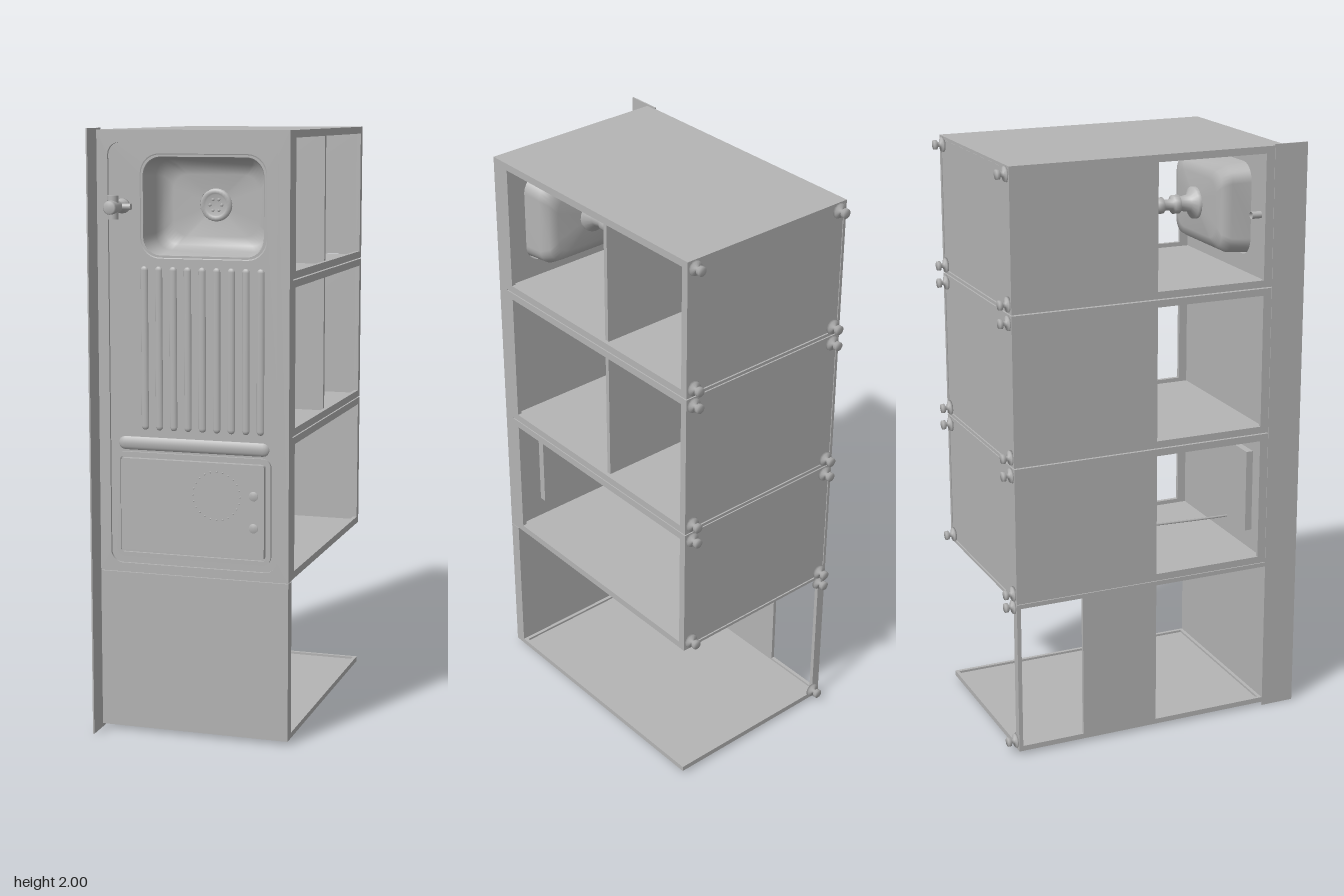
import * as THREE from 'three';

const grey = new THREE.MeshStandardMaterial({ color: 0xb4b4b4, side: THREE.DoubleSide });
grey.name = 'steel grey';

function add(parent, name, geometry, x = 0, y = 0, z = 0) {
  const m = new THREE.Mesh(geometry, grey);
  m.name = name;
  m.position.set(x, y, z);
  parent.add(m);
  return m;
}

// box given by its extents
function slab(parent, name, x0, x1, y0, y1, z0, z1) {
  return add(parent, name, new THREE.BoxGeometry(x1 - x0, y1 - y0, z1 - z0),
    (x0 + x1) / 2, (y0 + y1) / 2, (z0 + z1) / 2);
}

// round part turned about z, profile given as [radius, z]
function turned(parent, name, profile, x, y, sides = 20) {
  const g = new THREE.LatheGeometry(profile.map(([r, z]) => new THREE.Vector2(r, z)), sides);
  g.rotateX(Math.PI / 2);
  return add(parent, name, g, x, y, 0);
}

function roundRect(x0, x1, y0, y1, r, Type = THREE.Shape) {
  const s = new Type();
  s.absarc(x1 - r, y1 - r, r, 0, Math.PI / 2);
  s.absarc(x0 + r, y1 - r, r, Math.PI / 2, Math.PI);
  s.absarc(x0 + r, y0 + r, r, Math.PI, Math.PI * 1.5);
  s.absarc(x1 - r, y0 + r, r, Math.PI * 1.5, Math.PI * 2);
  s.closePath();
  return s;
}

function plate(parent, name, shape, z0, z1) {
  const g = new THREE.ExtrudeGeometry(shape, { depth: z1 - z0, bevelEnabled: false, curveSegments: 8 });
  return add(parent, name, g, 0, 0, z0);
}

function rect(x0, x1, y0, y1) {
  return new THREE.Shape([[x0, y0], [x1, y0], [x1, y1], [x0, y1]].map(p => new THREE.Vector2(...p)));
}

// skin between rounded rectangles [x0, x1, y0, y1, radius, z]
function loft(sections) {
  const pos = [], index = [], n = 32;
  for (const [x0, x1, y0, y1, r, z] of sections) {
    for (let i = 0; i < n; i++) {
      const a = (Math.floor(i / 8) + (i % 8) / 7) * Math.PI / 2, q = Math.floor(i / 8);
      const cx = q === 0 || q === 3 ? x1 - r : x0 + r, cy = q < 2 ? y1 - r : y0 + r;
      pos.push(cx + r * Math.cos(a), cy + r * Math.sin(a), z);
    }
  }
  for (let s = 0; s < sections.length - 1; s++) {
    for (let i = 0; i < n; i++) {
      const a = s * n + i, b = s * n + (i + 1) % n;
      index.push(a, a + n, b, b, a + n, b + n);
    }
  }
  const g = new THREE.BufferGeometry();
  g.setAttribute('position', new THREE.Float32BufferAttribute(pos, 3));
  g.setIndex(index);
  g.computeVertexNormals();
  return g;
}

const L = -0.325, R = 0.325, BACK = -0.525, FRONT = 0.395;

function foot(parent, x, y) {
  turned(parent, 'foot', [[0, -0.557], [0.016, -0.557], [0.016, -0.546], [0.008, -0.544],
    [0.008, -0.534], [0.024, -0.53], [0.026, -0.523], [0, -0.523]], x, y, 14);
}

// open cabinet between y0 and y1, its mouth towards +x
function cabinet(y0, y1, hasShelf) {
  const g = new THREE.Group(), t = 0.01;
  g.name = 'cabinet';
  slab(g, 'lowerWall', L, R, y0, y0 + t, BACK, FRONT);
  slab(g, 'upperWall', L, R, y1 - t, y1, BACK, FRONT);
  slab(g, 'rearWall', L, R - 0.003, y0 + 0.012, y1 - 0.012, BACK + 0.003, BACK + 0.013);
  slab(g, 'halfPanel', L, L + t, y0 + t, y1 - t, BACK, -0.02);
  // folded lips around both openings
  for (const [x0, x1] of [[L, L + t], [R - 0.014, R]]) {
    slab(g, 'sideLip', x0, x1, y0, y1, FRONT - 0.03, FRONT);
    slab(g, 'sideLip', x0, x1, y0, y1, BACK, BACK + 0.025);
    slab(g, 'lowerLip', x0, x1, y0, y0 + 0.024, BACK, FRONT);
    slab(g, 'upperLip', x0, x1, y1 - 0.024, y1, BACK, FRONT);
  }
  if (hasShelf) slab(g, 'shelf', L + t, 0.298, y0 + t, y1 - t, -0.113, -0.098);
  for (const x of [-0.295, 0.295]) for (const y of [y0 + 0.028, y1 - 0.028]) foot(g, x, y);
  return g;
}

function worktop() {
  const g = new THREE.Group();
  g.name = 'worktop';
  const base = rect(L, R, 0.545, 1.995);
  base.holes.push(roundRect(-0.168, 0.238, 1.595, 1.91, 0.06, THREE.Path));
  plate(g, 'top', base, FRONT, 0.426);
  const rim = rect(L, R, 0.545, 1.995);
  rim.holes.push(roundRect(-0.285, 0.285, 0.575, 1.955, 0.04, THREE.Path));
  plate(g, 'rim', rim, 0.426, 0.435);
  slab(g, 'frontPanel', L, R, 0.012, 0.543, FRONT, 0.435);
  slab(g, 'splashback', L - 0.002, L + 0.003, 0, 2, FRONT, 0.515);

  // sink bowl
  add(g, 'bowl', loft([
    [-0.178, 0.248, 1.585, 1.92, 0.065, 0.427], [-0.166, 0.236, 1.597, 1.908, 0.06, 0.423],
    [-0.158, 0.228, 1.605, 1.9, 0.055, 0.33], [-0.14, 0.21, 1.622, 1.882, 0.05, 0.3],
    [-0.11, 0.18, 1.65, 1.85, 0.05, 0.291], [0.03, 0.04, 1.75, 1.76, 0.004, 0.285],
  ]));
  turned(g, 'drain', [[0.054, 0.287], [0.05, 0.296], [0.038, 0.296], [0.034, 0.29], [0, 0.29]], 0.035, 1.752, 24);
  for (let i = 0; i < 6; i++) {
    const a = i * Math.PI / 3;
    turned(g, 'drainStud', [[0.005, 0.288], [0.005, 0.294], [0, 0.294]],
      0.035 + 0.02 * Math.cos(a), 1.752 + 0.02 * Math.sin(a), 8);
  }

  // draining ribs
  for (let i = 0; i < 9; i++) {
    const rib = add(g, 'drainingRib', new THREE.CapsuleGeometry(0.013, 0.51, 4, 10), -0.165 + i * 0.049, 1.292, 0.425);
    rib.scale.z = 0.6;
  }
  const bar = add(g, 'cooktopRidge', new THREE.CapsuleGeometry(0.024, 0.47, 4, 12).rotateZ(Math.PI / 2), 0, 0.978, 0.422);
  bar.scale.z = 0.5;

  // cooktop
  const surround = roundRect(-0.265, 0.265, 0.598, 0.95, 0.03);
  surround.holes.push(roundRect(-0.25, 0.25, 0.613, 0.935, 0.012, THREE.Path));
  plate(g, 'cooktopSurround', surround, 0.425, 0.436);
  plate(g, 'cooktopPlate', roundRect(-0.245, 0.245, 0.618, 0.93, 0.01), 0.425, 0.445);
  slab(g, 'cooktopBox', -0.22, 0.22, 0.63, 0.92, 0.37, FRONT);
  for (let i = 0; i < 24; i++) {
    const a = i * Math.PI / 12;
    turned(g, 'burnerMark', [[0.003, 0.444], [0.003, 0.4465], [0, 0.4465]],
      0.085 + 0.08 * Math.cos(a), 0.822 + 0.08 * Math.sin(a), 6);
  }
  for (const y of [0.722, 0.828]) turned(g, 'cooktopControl', [[0.016, 0.444], [0.015, 0.449], [0, 0.449]], 0.21, y);
  return g;
}

function plumbing() {
  const g = new THREE.Group();
  g.name = 'plumbing';
  // tap
  turned(g, 'tapBody', [[0.012, 0.36], [0.012, 0.425], [0.024, 0.428], [0.024, 0.44], [0.016, 0.444],
    [0.017, 0.49], [0.022, 0.494], [0.022, 0.55], [0.018, 0.556], [0, 0.556]], -0.235, 1.752);
  add(g, 'tapHandle', new THREE.CylinderGeometry(0.017, 0.017, 0.076, 16), -0.235, 1.752, 0.517);
  add(g, 'spout', new THREE.CylinderGeometry(0.01, 0.011, 0.045, 12).rotateZ(Math.PI / 2), -0.215, 1.752, 0.47);
  // waste pipe below the bowl
  turned(g, 'wastePipe', [[0.055, 0.288], [0.055, 0.275], [0.03, 0.26], [0.024, 0.225], [0.032, 0.222],
    [0.032, 0.2], [0.019, 0.196], [0.019, 0.165], [0.028, 0.162], [0.028, 0.14], [0.018, 0.137],
    [0.022, 0.11], [0.034, 0.107], [0.034, 0.085], [0.022, 0.08], [0.022, 0.06]], 0.035, 1.752);
  add(g, 'trap', new THREE.SphereGeometry(0.042, 18, 12), 0.035, 1.752, 0.068);
  add(g, 'trapOutlet', new THREE.CylinderGeometry(0.026, 0.026, 0.08, 16).rotateZ(Math.PI / 2), -0.01, 1.752, 0.06);
  add(g, 'trapCap', new THREE.CylinderGeometry(0.012, 0.02, 0.055, 12), 0.035, 1.783, 0.105);
  return g;
}

function lowerBay() {
  const g = new THREE.Group();
  g.name = 'lowerBay';
  slab(g, 'basePlate', L, R, 0.012, 0.022, BACK, FRONT);
  // raised edge of the base plate
  for (const x of [L, R - 0.012]) slab(g, 'baseEdge', x, x + 0.012, 0.012, 0.03, BACK, FRONT);
  for (const z of [BACK, FRONT - 0.012]) slab(g, 'baseEdge', L, R, 0.012, 0.03, z, z + 0.012);
  slab(g, 'rearPost', L, L + 0.03, 0.03, 0.545, BACK, BACK + 0.014);
  slab(g, 'narrowPanel', L, L + 0.012, 0.03, 0.545, -0.29, -0.02);
  slab(g, 'topRail', L, L + 0.012, 0.53, 0.545, BACK, FRONT);
  for (const y of [0.04, 0.53]) foot(g, -0.295, y);
  return g;
}

function powerCord() {
  const g = new THREE.Group();
  g.name = 'powerCord';
  const path = new THREE.CatmullRomCurve3([[0.375, 0.638], [0.25, 0.641], [0.05, 0.648], [-0.15, 0.653],
    [-0.3, 0.65], [-0.375, 0.645]].map(([z, y]) => new THREE.Vector3(-0.08, y, z)));
  add(g, 'cord', new THREE.TubeGeometry(path, 30, 0.004, 6));
  turned(g, 'plug', [[0, -0.365], [0.006, -0.37], [0.018, -0.395], [0.018, -0.41], [0, -0.41]], -0.08, 0.645, 12);
  for (const s of [-1, 1]) slab(g, 'pin', -0.083, -0.077, 0.643 + s * 0.01, 0.647 + s * 0.01, -0.435, -0.41);
  return g;
}

export function createModel() {
  const model = new THREE.Group();
  model.name = 'compactKitchen';
  model.add(cabinet(1.527, 1.995, true), cabinet(1.02, 1.523, true), cabinet(0.547, 1.016, false));
  model.add(worktop(), plumbing(), lowerBay(), powerCord());
  return model;
}
